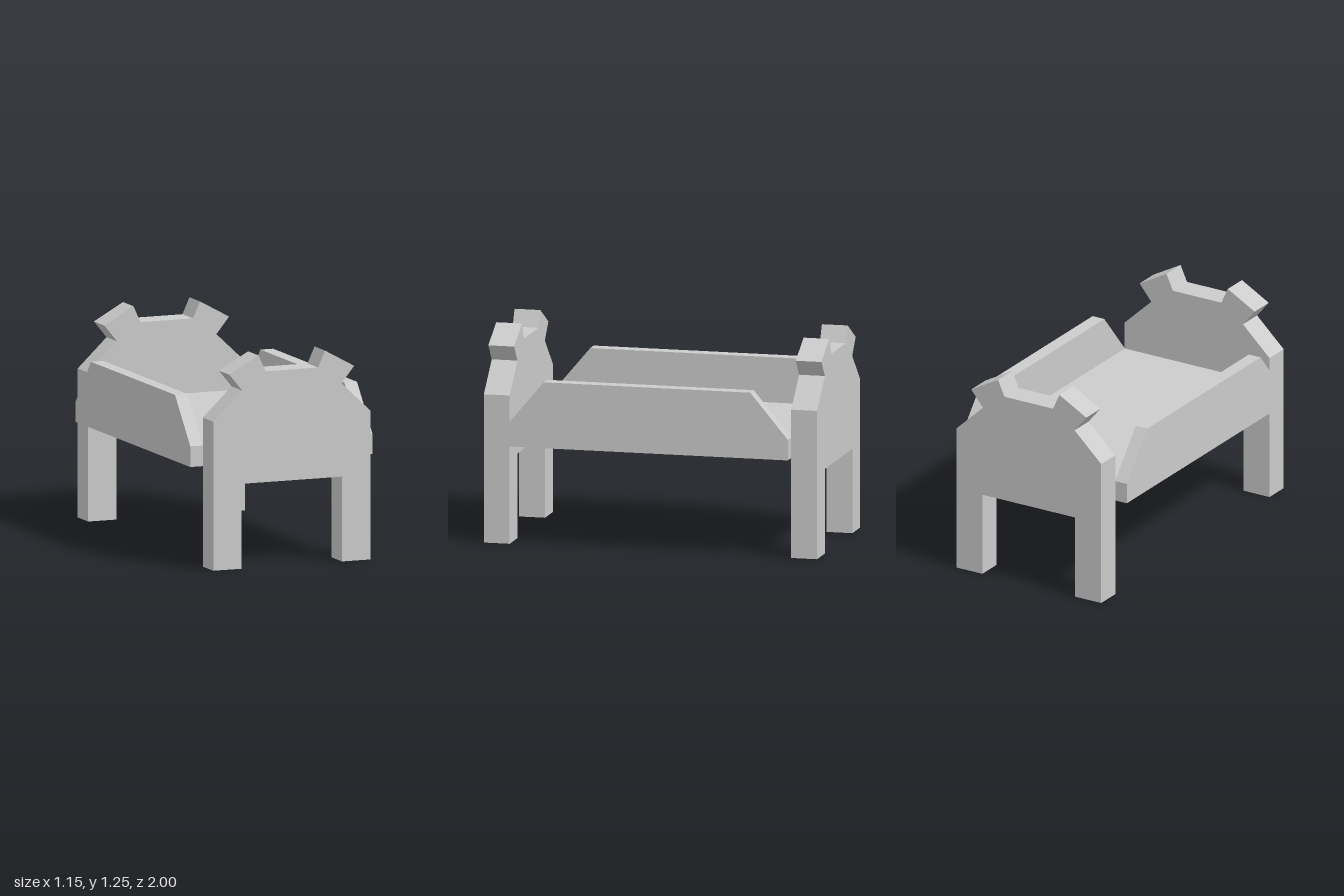
import * as THREE from 'three';

const material = new THREE.MeshStandardMaterial({ color: 0xcccccc, flatShading: true });

// Extrudes an outline along z, centred on z = 0
function slab(points, depth) {
  const shape = new THREE.Shape(points.map(([x, y]) => new THREE.Vector2(x, y)));
  const geometry = new THREE.ExtrudeGeometry(shape, { depth, bevelEnabled: false });
  return geometry.translate(0, 0, -depth / 2);
}

function addPart(group, name, geometry, x, y, z) {
  const mesh = new THREE.Mesh(geometry, material);
  mesh.name = name;
  mesh.position.set(x, y, z);
  group.add(mesh);
}

export function createModel() {
  const group = new THREE.Group();
  group.name = 'bed';

  // End boards: two legs, sloped shoulders and a pair of ear-like posts
  const half = [
    [0.318, 0.5], [0.318, 0], [0.496, 0], [0.496, 0.878], [0.314, 1.05],
    [0.394, 1.148], [0.21, 1.25], [0.166, 1.153],
  ];
  const outline = [...half, ...half.map(([x, y]) => [-x, y]).reverse()];
  const endBoard = slab(outline, 0.155);
  addPart(group, 'footboard', endBoard, 0, 0, 0.9225);
  addPart(group, 'headboard', endBoard, 0, 0, -0.9225);

  // Flat bed base between the end boards
  addPart(group, 'bedBase', new THREE.BoxGeometry(0.992, 0.122, 1.69), 0, 0.653, 0);

  // Side rails with sloped ends
  const rail = slab([
    [-0.845, 0.592], [0.845, 0.592], [0.845, 0.714],
    [0.62, 0.982], [-0.62, 0.982], [-0.845, 0.714],
  ], 0.08).rotateY(Math.PI / 2);
  addPart(group, 'leftRail', rail, 0.535, 0, 0);
  addPart(group, 'rightRail', rail, -0.535, 0, 0);

  return group;
}
